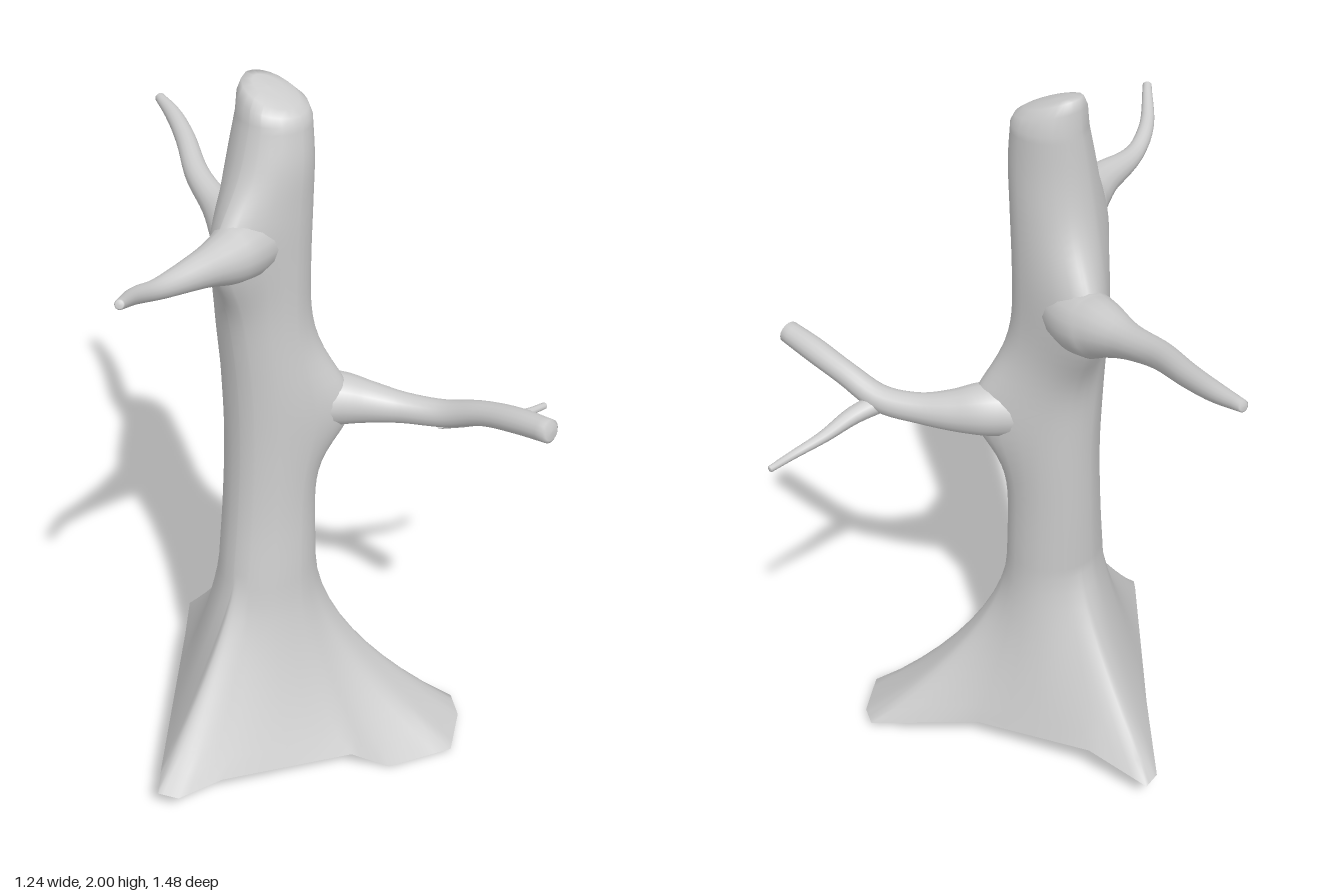
import * as THREE from 'three';

const V = (x, y, z) => new THREE.Vector3(x, y, z);
const material = new THREE.MeshStandardMaterial({ color: 0xcccccc, side: THREE.DoubleSide });

// Skin a stack of closed rings that all have the same point count
function loft(name, rings) {
  const n = rings[0].length, index = [];
  for (let r = 0; r < rings.length - 1; r++) {
    for (let i = 0; i < n; i++) {
      const a = r * n + i, b = r * n + (i + 1) % n;
      index.push(a, a + n, b, b, a + n, b + n);
    }
  }
  const geometry = new THREE.BufferGeometry().setFromPoints(rings.flat());
  geometry.setIndex(index);
  geometry.computeVertexNormals();
  const mesh = new THREE.Mesh(geometry, material);
  mesh.name = name;
  return mesh;
}

// Tapered limb through points [x, y, z, radius], with a rounded tip
function limb(name, points, sides = 16, steps = 36) {
  const path = new THREE.CatmullRomCurve3(points.map(p => V(p[0], p[1], p[2])));
  const radius = new THREE.CatmullRomCurve3(points.map((p, i) => V(p[3], i * 0.1, 0)));
  const rings = [];
  const addRing = (t, scale, push) => {
    const d = path.getTangent(t), u = d.clone().cross(V(0, 1, 0)).normalize(), v = u.clone().cross(d);
    const r = radius.getPoint(t).x, c = path.getPoint(t).addScaledVector(d, r * push);
    rings.push(Array.from({ length: sides }, (_, i) => {
      const a = i / sides * Math.PI * 2;
      return c.clone().addScaledVector(u, Math.cos(a) * r * scale).addScaledVector(v, Math.sin(a) * r * scale);
    }));
  };
  for (let s = 0; s <= steps; s++) addRing(s / steps, 1, 0);
  addRing(1, 0.75, 0.15);
  addRing(1, 0, 0.2);
  return loft(name, rings);
}

// Ground outline of the three spreading roots
const rim = [
  [0.18, 0.08, -0.4], [0.21, 0.135, -0.22], [0.28, 0.09, 0.13], [0.43, 0.03, 0.42], [0.39, 0.02, 0.48],
  [0.27, 0.012, 0.55], [0.1, 0, 0.46], [0, 0.08, 0.4], [-0.35, 0.115, 0.23], [-0.47, 0.095, 0.18],
  [-0.5, 0.1, 0.13], [-0.45, 0.13, 0.09], [-0.03, 0.155, -0.25], [0.13, 0.085, -0.4],
].map(p => V(...p));

// Trunk sections: height, x min, x max, z min, z max
const sections = [
  [0.6, -0.14, 0.15, -0.075, 0.185], [0.8, -0.11, 0.15, -0.08, 0.17], [1.0, -0.095, 0.153, -0.085, 0.165],
  [1.2, -0.095, 0.148, -0.095, 0.16], [1.4, -0.108, 0.14, -0.1, 0.145], [1.55, -0.108, 0.138, -0.095, 0.143],
  [1.7, -0.098, 0.135, -0.083, 0.145], [1.82, -0.077, 0.13, -0.07, 0.145], [1.92, -0.052, 0.128, -0.06, 0.13],
];

// Swellings where limbs leave the trunk: height, direction, reach, half height
const collars = [
  [1.615, Math.PI * 0.94, 0.09, 0.135], [1.455, -Math.PI * 0.32, 0.11, 0.155], [1.115, Math.PI * 0.27, 0.095, 0.14],
];

function createTrunk() {
  let outline = [];
  rim.forEach((p, i) => {
    for (let k = 0; k < 4; k++) outline.push(p.clone().lerp(rim[(i + 1) % rim.length], k / 4));
  });
  const n = outline.length;
  const angles = outline.map(p => Math.atan2(p.z - 0.055, p.x - 0.005));
  const ellipse = (c, rx, rz, tilt = 0) => angles.map(a =>
    V(c.x + rx * Math.cos(a), c.y - tilt * rz * Math.sin(a), c.z + rz * Math.sin(a)));

  const centres = new THREE.CatmullRomCurve3(sections.map(s => V((s[1] + s[2]) / 2, s[0], (s[3] + s[4]) / 2)));
  const radii = new THREE.CatmullRomCurve3(sections.map(s => V((s[2] - s[1]) / 2, s[0], (s[4] - s[3]) / 2)));
  const rings = [];

  // Roots flare from the trunk foot to the ground outline, whose corners soften with height
  const foot = ellipse(centres.getPoint(0), radii.getPoint(0).x, radii.getPoint(0).z);
  for (let k = 0; k < 10; k++) {
    const s = k / 10;
    rings.push(outline.map((p, i) => {
      const w = Math.pow(1 - s, 1.45 + 0.4 * (p.x + p.z));
      return V(foot[i].x + (p.x - foot[i].x) * w, p.y + (0.6 - p.y) * s, foot[i].z + (p.z - foot[i].z) * w);
    }));
    const last = outline;
    outline = last.map((p, i) => last[(i + n - 1) % n].clone().add(last[(i + 1) % n]).addScaledVector(p, 2).divideScalar(4));
  }
  // Trunk column, swelling towards each limb
  for (let k = 0; k <= 48; k++) {
    const r = radii.getPoint(k / 48), ring = ellipse(centres.getPoint(k / 48), r.x, r.z);
    ring.forEach((p, i) => collars.forEach(([y, direction, reach, half]) => {
      const facing = Math.max(0, Math.cos(angles[i] - direction));
      const swell = reach * Math.exp(-(((p.y - y) / half) ** 2)) * facing ** 4;
      p.x += swell * Math.cos(direction);
      p.z += swell * Math.sin(direction);
    }));
    rings.push(ring);
  }
  // Rounded, slanted stump top
  rings.push(ellipse(V(0.037, 1.955, 0.032), 0.083, 0.088, 0.2));
  rings.push(ellipse(V(0.037, 1.975, 0.025), 0.062, 0.075, 0.32));
  rings.push(ellipse(V(0.037, 1.982, 0.02), 0.035, 0.045, 0.32));
  rings.push(ellipse(V(0.037, 1.984, 0.02), 0, 0));
  return loft('trunk', rings);
}

export function createModel() {
  const group = new THREE.Group();
  group.name = 'bareTree';
  group.add(createTrunk());
  group.add(limb('upperRightBranch', [
    [0.03, 1.62, 0.045, 0.07], [-0.08, 1.625, 0.065, 0.076], [-0.13, 1.63, 0.077, 0.074], [-0.17, 1.632, 0.085, 0.066],
    [-0.25, 1.64, 0.093, 0.047], [-0.4, 1.65, 0.1, 0.026], [-0.5, 1.685, 0.13, 0.02], [-0.615, 1.743, 0.21, 0.012]]));
  group.add(limb('backBranch', [
    [0.045, 1.46, 0, 0.075], [0.1, 1.465, -0.1, 0.082], [0.125, 1.475, -0.16, 0.08], [0.14, 1.488, -0.2, 0.07],
    [0.175, 1.51, -0.3, 0.044], [0.22, 1.54, -0.42, 0.034], [0.3, 1.578, -0.55, 0.028],
    [0.35, 1.602, -0.65, 0.023], [0.38, 1.618, -0.738, 0.014]]));
  group.add(limb('frontBranch', [
    [0.05, 1.115, 0.05, 0.075], [0.125, 1.118, 0.13, 0.076], [0.165, 1.117, 0.175, 0.071], [0.205, 1.112, 0.23, 0.057],
    [0.25, 1.11, 0.31, 0.042], [0.29, 1.12, 0.41, 0.037], [0.305, 1.165, 0.52, 0.033], [0.305, 1.195, 0.63, 0.034],
    [0.3, 1.213, 0.73, 0.031]]));
  group.add(limb('frontTwig', [
    [0.28, 1.11, 0.41, 0.03], [0.36, 1.09, 0.447, 0.025], [0.45, 1.063, 0.47, 0.017],
    [0.54, 1.042, 0.498, 0.012], [0.613, 1.035, 0.508, 0.009]], 10, 16));
  return group;
}
